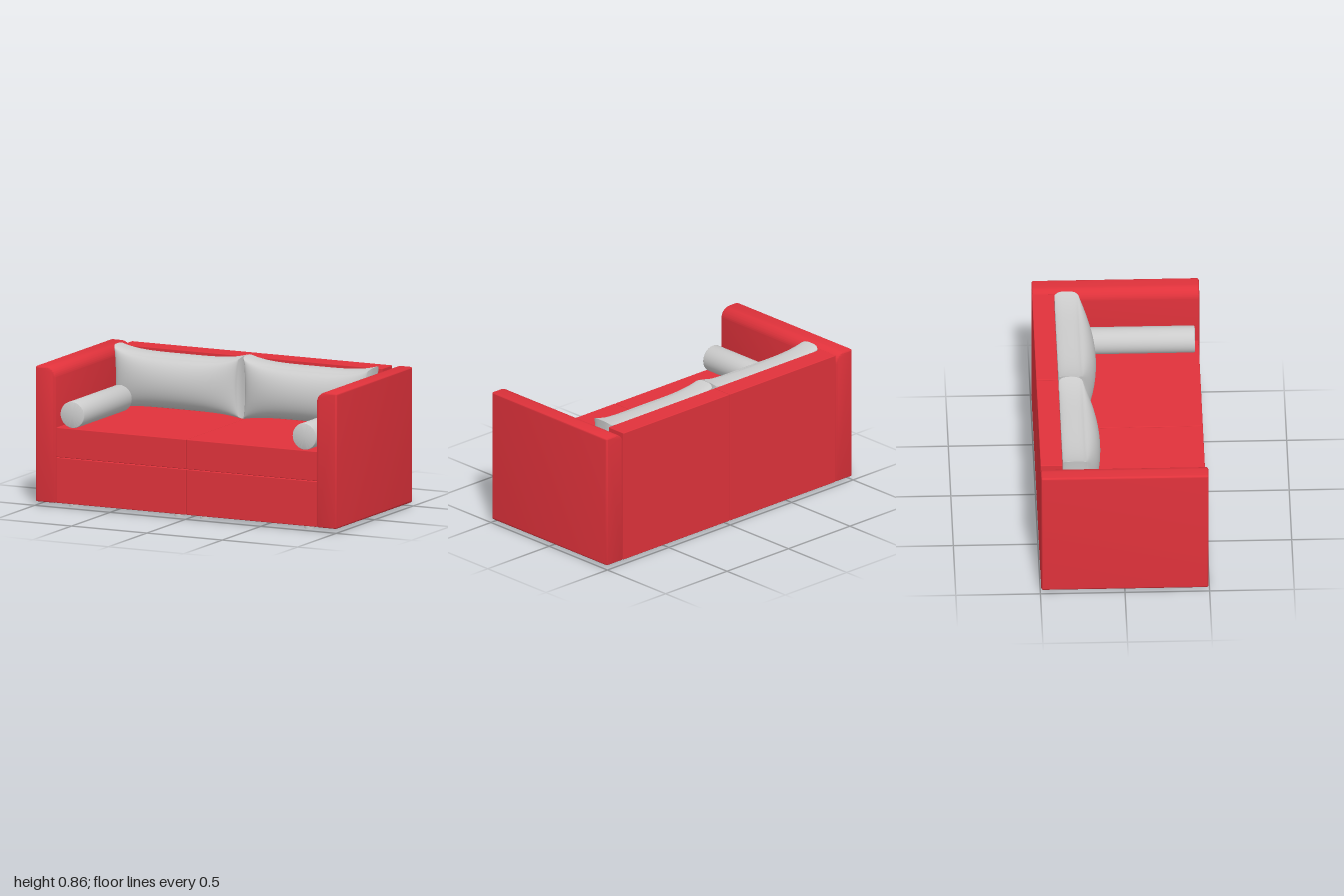
import * as THREE from 'three';
import { mergeVertices, toCreasedNormals } from 'three/addons/utils/BufferGeometryUtils.js';
import { RoundedBoxGeometry } from 'three/addons/geometries/RoundedBoxGeometry.js';

const red = new THREE.MeshStandardMaterial({ color: 0xe0323b });
const grey = new THREE.MeshStandardMaterial({ color: 0xcccccc });

function add(parent, name, geometry, material) {
  const mesh = new THREE.Mesh(geometry, material);
  mesh.name = name;
  parent.add(mesh);
  return mesh;
}

// Softly edged block given by its limits
function block(x0, x1, y0, y1, z0, z1) {
  const g = new RoundedBoxGeometry(x1 - x0, y1 - y0, z1 - z0, 2, 0.004);
  return g.translate((x0 + x1) / 2, (y0 + y1) / 2, (z0 + z1) / 2);
}

// Armrest: slab with a large round on its inner top edge
function armGeometry() {
  const x0 = 0.865, x1 = 1, y0 = 0.023, y1 = 0.838, r = 0.014, R = 0.065, bevel = 0.012;
  const s = new THREE.Shape();
  s.moveTo(x0 + r, y0);
  s.lineTo(x1 - r, y0);
  s.quadraticCurveTo(x1, y0, x1, y0 + r);
  s.lineTo(x1, y1 - r);
  s.quadraticCurveTo(x1, y1, x1 - r, y1);
  s.lineTo(x0 + R, y1);
  s.absarc(x0 + R, y1 - R, R, Math.PI / 2, Math.PI, false);
  s.lineTo(x0, y0 + r);
  s.quadraticCurveTo(x0, y0, x0 + r, y0);
  const g = new THREE.ExtrudeGeometry(s, {
    depth: 0.99 - 2 * bevel, bevelEnabled: true, bevelSize: bevel, bevelOffset: -bevel,
    bevelThickness: bevel, bevelSegments: 4, curveSegments: 10,
  });
  return toCreasedNormals(g.translate(0, 0, -0.495 + bevel), 0.7);
}

// Back pillow: flat behind, bulging in front, with pulled-out corners
function pillowGeometry() {
  let g = new THREE.BoxGeometry(2, 2, 2, 36, 24, 8);
  g.deleteAttribute('normal');
  g.deleteAttribute('uv');
  g = mergeVertices(g);
  const p = g.attributes.position;
  for (let i = 0; i < p.count; i++) {
    const u = Math.sin(p.getX(i) * Math.PI / 2);
    const v = Math.sin(p.getY(i) * Math.PI / 2);
    const w = Math.sin(p.getZ(i) * Math.PI / 2);
    const bulge = Math.sqrt(Math.max(0, (1 - u * u) * (1 - v * v)));
    const side = 1 - u ** 4;
    // rounded rim: shrink slightly towards the front and back faces
    const rim = 0.016 * w ** 4;
    const x = u * (0.427 - 0.012 * (1 - v * v) - rim);
    const top = 0.857 - 0.033 * side - rim;
    const bottom = 0.478 + 0.022 * side + rim;
    const y = THREE.MathUtils.lerp(bottom, top, (v + 1) / 2);
    const z = THREE.MathUtils.lerp(-0.362, -0.222 + 0.092 * bulge, (w + 1) / 2);
    p.setXYZ(i, x, y, z);
  }
  g.computeVertexNormals();
  return g.translate(0.429, 0, 0);
}

// Bolster: cylinder with softened rims, lying along z
function bolsterGeometry() {
  const r = 0.08, h = 0.3125, e = 0.008;
  const profile = [[0, -h], [r - e, -h], [r - 0.3 * e, -h + 0.3 * e], [r, -h + e],
    [r, h - e], [r - 0.3 * e, h - 0.3 * e], [r - e, h], [0, h]];
  const g = new THREE.LatheGeometry(profile.map(([x, y]) => new THREE.Vector2(x, y)), 40);
  return toCreasedNormals(g, 0.6).rotateX(Math.PI / 2);
}

export function createModel() {
  const model = new THREE.Group();
  model.name = 'sofa';

  const arm = armGeometry();
  const pillow = pillowGeometry();
  const bolster = bolsterGeometry();
  const foot = new THREE.CylinderGeometry(0.03, 0.03, 0.03, 24);

  for (const side of [1, -1]) {
    const half = new THREE.Group();
    half.name = side > 0 ? 'leftHalf' : 'rightHalf';
    model.add(half);

    // Upholstered blocks; the base is open underneath behind the front block
    const span = side > 0 ? [0.0015, 0.863] : [-0.863, -0.0015];
    add(half, 'frontBase', block(...span, 0.025, 0.298, 0.225, 0.49), red);
    add(half, 'seat', block(...span, 0.3, 0.478, -0.366, 0.49), red);
    add(half, 'backrest', block(...span, 0.025, 0.835, -0.495, -0.365), red);

    // Armrest, turned round for the opposite side
    const armMesh = add(half, 'armrest', arm, red);
    if (side < 0) armMesh.rotation.y = Math.PI;

    // Loose cushions
    add(half, 'backPillow', pillow, grey).position.x = side > 0 ? 0 : -0.858;
    add(half, 'bolster', bolster, grey).position.set(side * 0.77, 0.556, 0.1525);

    // Feet
    for (const x of [0.085, 0.78]) {
      for (const z of [0.413, -0.425]) {
        add(half, 'foot', foot, grey).position.set(side * x, 0.015, z);
      }
    }
  }
  return model;
}
